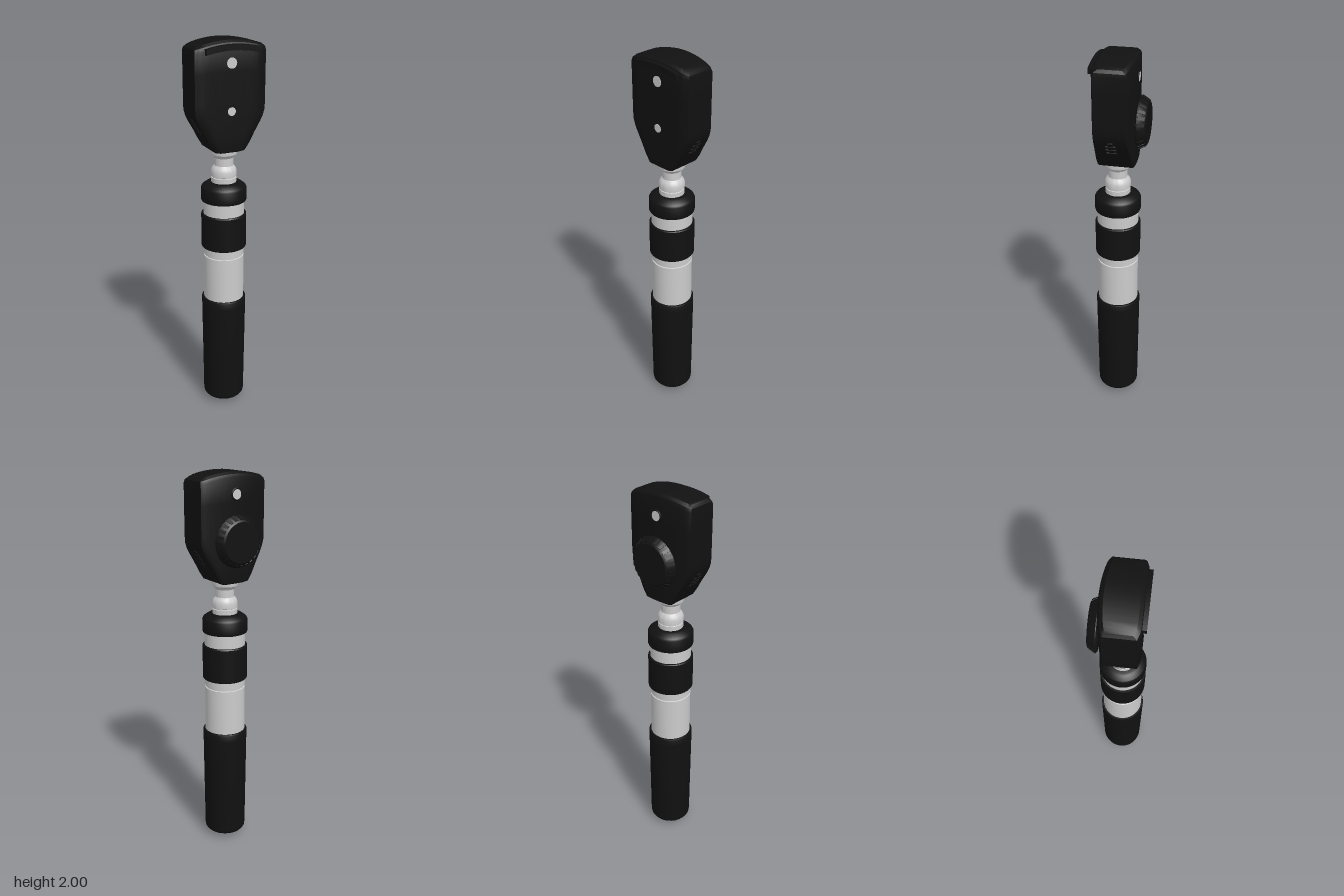
import * as THREE from 'three';
import { toCreasedNormals } from 'three/addons/utils/BufferGeometryUtils.js';

const black = new THREE.MeshStandardMaterial({ color: 0x111111 });
const grey = new THREE.MeshStandardMaterial({ color: 0xcccccc });
const AXIS_Z = 0.017; // handle axis
const HALF = 0.185; // half width of the head

function add(parent, name, geometry, material, x = 0, y = 0, z = 0) {
  const mesh = new THREE.Mesh(geometry, material);
  mesh.name = name;
  mesh.position.set(x, y, z);
  parent.add(mesh);
  return mesh;
}

// Turned part from [radius, height] pairs, with crisp edges
function turned(profile, sides = 48) {
  const g = new THREE.LatheGeometry(profile.map(([r, y]) => new THREE.Vector2(r, y)), sides);
  return toCreasedNormals(g, 0.5);
}

// Head: stacked plan sections with a bowed back and an arched top
function headGeometry() {
  const levels = [ // y, half width, inset of the faces, amount of arch
    [1.455, 0.06, 0.02, 0], [1.463, 0.08, 0.004, 0], [1.5, 0.103, 0, 0], [1.55, 0.13, 0, 0],
    [1.6, 0.16, 0, 0], [1.63, 0.175, 0, 0], [1.66, 0.184, 0, 0], [1.7, HALF, 0, 0],
    [1.85, HALF, 0, 0.3], [1.945, HALF, 0, 1], [1.96, 0.182, 0.006, 1], [1.97, 0.17, 0.022, 1],
  ];
  const cols = 16, ring = 2 * (cols + 1), pos = [], idx = [];
  for (const [y, w, inset, arch] of levels) {
    for (let k = 0; k < ring; k++) {
      const front = k <= cols;
      const t = front ? k / cols : (ring - 1 - k) / cols;
      const s = -Math.cos(Math.PI * t); // columns gather at the side edges
      const x = w * s, bow = (x / HALF) ** 2;
      const edge = Math.max(0, Math.abs(s) - 0.8) / 0.2;
      const z = front ? 0.109 - inset - 0.013 * edge : -0.085 + inset + 0.022 * bow + 0.006 * edge ** 3;
      pos.push(x, y + arch * 0.03 * (1 - bow), z);
    }
  }
  for (let l = 0; l < levels.length - 1; l++) {
    for (let k = 0; k < ring; k++) {
      const a = l * ring + k, b = l * ring + (k + 1) % ring;
      idx.push(a, b, b + ring, a, b + ring, a + ring);
    }
  }
  const top = (levels.length - 1) * ring;
  for (let k = 0; k < cols; k++) {
    const m = ring - 1 - k;
    idx.push(top + k, top + k + 1, top + m - 1, top + k, top + m - 1, top + m);
    idx.push(k, m - 1, k + 1, k, m, m - 1);
  }
  const g = new THREE.BufferGeometry();
  g.setAttribute('position', new THREE.Float32BufferAttribute(pos, 3));
  g.setIndex(idx);
  return toCreasedNormals(g, 0.5);
}

function buildHandle() {
  const handle = new THREE.Group();
  handle.name = 'handle';
  handle.position.z = AXIS_Z;
  add(handle, 'grip', turned([[0, 0], [0.04, 0.002], [0.07, 0.012], [0.1, 0.03], [0.109, 0.042],
    [0.111, 0.055], [0.117, 0.6], [0.117, 0.636], [0.114, 0.642], [0.1, 0.642]]), black);
  add(handle, 'barrel', turned([[0.106, 0.63], [0.106, 0.885], [0.1, 0.887], [0.1, 0.893],
    [0.106, 0.895], [0.106, 1.2]]), grey);
  add(handle, 'controlRing', turned([[0.1, 0.935], [0.114, 0.935], [0.117, 0.94], [0.117, 1.115],
    [0.114, 1.12], [0.1, 1.12]]), black);
  add(handle, 'collar', turned([[0.1, 1.19], [0.115, 1.19], [0.117, 1.195], [0.117, 1.257],
    [0.112, 1.267], [0.088, 1.284], [0.075, 1.288], [0, 1.288]]), black);
  add(handle, 'neck', turned([[0.064, 1.28], [0.064, 1.312], [0.06, 1.314], [0.06, 1.318],
    [0.065, 1.32], [0.066, 1.345], [0.06, 1.362], [0.048, 1.375], [0.048, 1.415],
    [0.054, 1.425], [0.066, 1.434], [0.068, 1.445], [0.068, 1.465]]), grey);
  return handle;
}

// Bevelled lens dial on the back with finger ridges round its rim
function buildDial() {
  const dial = new THREE.Group();
  dial.name = 'lensDial';
  dial.position.set(0, 1.67, -0.078);
  dial.rotation.x = -Math.PI / 2;
  add(dial, 'dialBody', turned([[0.085, -0.01], [0.085, 0.009], [0.118, 0.009], [0.128, 0.015],
    [0.128, 0.019], [0.11, 0.05], [0.1, 0.057], [0, 0.057]]), black);
  const ridge = new THREE.BoxGeometry(0.016, 0.037, 0.008);
  for (let i = 0; i < 24; i++) {
    const spoke = new THREE.Group();
    spoke.name = 'dialRidge';
    spoke.rotation.y = (i / 24) * Math.PI * 2;
    dial.add(spoke);
    add(spoke, 'ridge', ridge, black, 0, 0.034, 0.117).rotation.x = -0.53;
  }
  return dial;
}

function buildHead() {
  const head = new THREE.Group();
  head.name = 'head';
  add(head, 'housing', headGeometry(), black);

  // Curved strip along the top of the front
  const strip = new THREE.Shape();
  const arch = (x) => 0.03 * (1 - (x / HALF) ** 2);
  for (let i = 0; i <= 16; i++) {
    const x = -0.138 + 0.276 * i / 16;
    strip[i ? 'lineTo' : 'moveTo'](x, 1.925 + arch(x));
  }
  for (let i = 16; i >= 0; i--) {
    const x = -0.138 + 0.276 * i / 16;
    strip.lineTo(x, 1.953 + arch(x));
  }
  strip.closePath();
  add(head, 'browStrip', new THREE.ExtrudeGeometry(strip, { depth: 0.035, bevelEnabled: false }),
    black, 0, 0, 0.09);

  // Windows: two in front, one behind with its eyepiece rim
  const disc = (name, r, y, z) => {
    add(head, name, new THREE.CylinderGeometry(r, r, 0.006, 24), grey, 0, y, z).rotation.x = Math.PI / 2;
  };
  disc('viewingWindow', 0.026, 1.895, 0.108);
  disc('lampWindow', 0.021, 1.665, 0.108);
  disc('eyepieceWindow', 0.024, 1.895, -0.085);
  add(head, 'eyepieceRim', new THREE.TorusGeometry(0.027, 0.005, 8, 24), black, 0, 1.895, -0.084);

  // Slide levers on both shoulders
  for (const side of [-1, 1]) {
    const lever = new THREE.Group();
    lever.name = side > 0 ? 'leftLever' : 'rightLever';
    lever.position.set(side * 0.147, 1.583, 0.018);
    lever.rotation.z = -side * 0.55;
    head.add(lever);
    add(lever, 'leverBar', new THREE.BoxGeometry(0.012, 0.1, 0.024), black);
    for (let i = -1; i <= 1; i++) {
      add(lever, 'leverRidge', new THREE.BoxGeometry(0.018, 0.008, 0.05), black, 0, i * 0.025, 0);
    }
  }
  head.add(buildDial());
  return head;
}

export function createModel() {
  const model = new THREE.Group();
  model.name = 'ophthalmoscope';
  model.add(buildHandle(), buildHead());
  return model;
}
